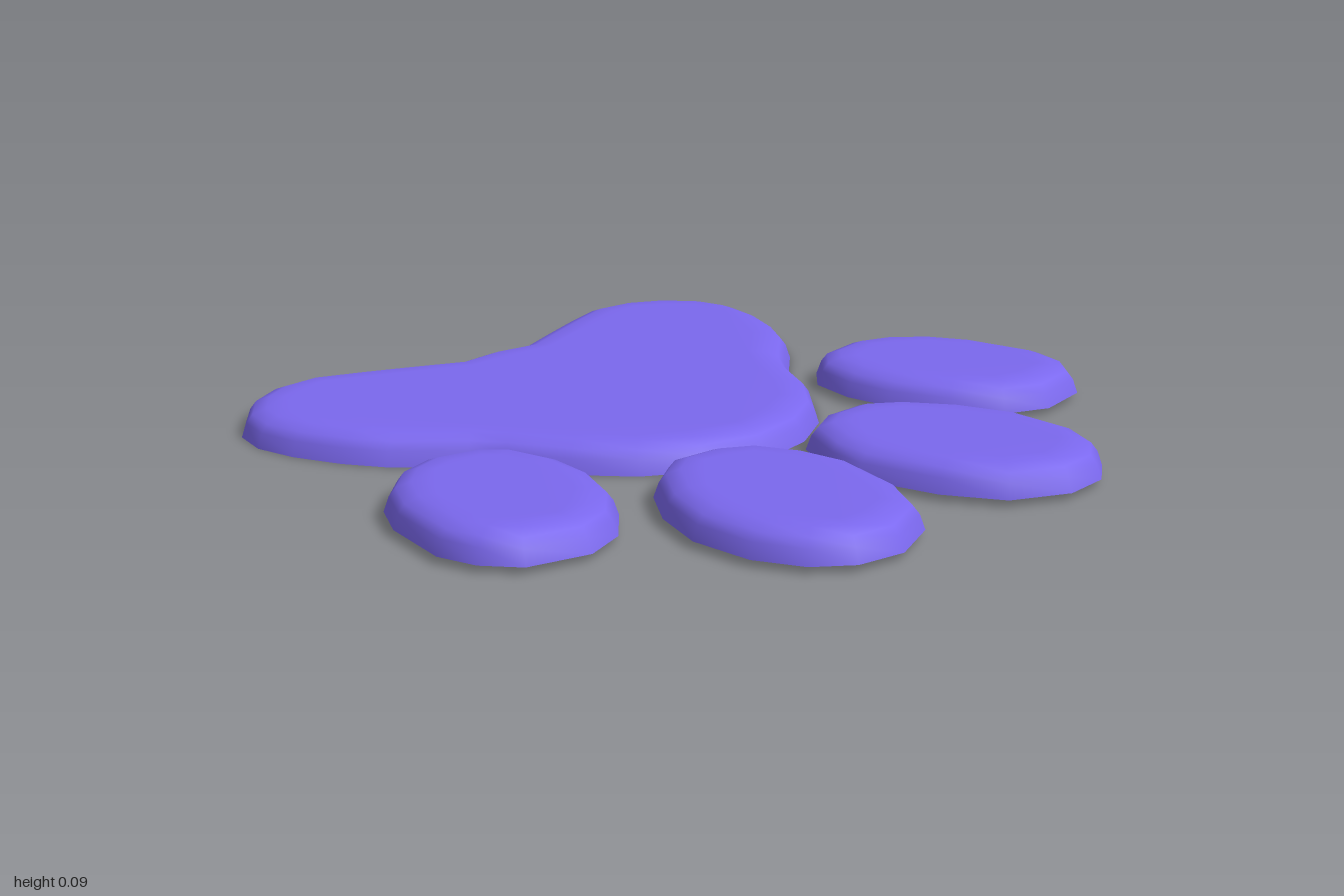
import * as THREE from 'three';

// Outlines as [x, z], clockwise seen from above
const padHalf = [
  [0, -0.785], [0.11, -0.772], [0.23, -0.825], [0.35, -0.875], [0.47, -0.92], [0.59, -0.91],
  [0.695, -0.855], [0.775, -0.76], [0.8, -0.66], [0.78, -0.55], [0.73, -0.43], [0.67, -0.335],
  [0.535, -0.21], [0.48, -0.14], [0.405, 0], [0.3, 0.12], [0.165, 0.2], [0, 0.235],
];
const outerToe = [
  [0.705, -0.17], [0.81, -0.135], [0.9, -0.055], [0.96, 0.055], [1, 0.25], [0.975, 0.35], [0.91, 0.43],
  [0.755, 0.465], [0.64, 0.42], [0.545, 0.32], [0.485, 0.18], [0.47, 0.055], [0.495, -0.07], [0.57, -0.145],
];
const innerToe = [
  [0.185, 0.225], [0.315, 0.22], [0.41, 0.285], [0.495, 0.405], [0.55, 0.555], [0.545, 0.72], [0.49, 0.835],
  [0.405, 0.9], [0.28, 0.915], [0.14, 0.85], [0.06, 0.715], [0.01, 0.515], [0.025, 0.405], [0.085, 0.28],
];

// Rounded edge as [inset, height]
const profile = [[0, 0], [0.012, 0.035], [0.027, 0.055], [0.06, 0.068], [0.1, 0.07]];

const mirror = (pts) => pts.map(([x, z]) => [-x, z]).reverse();

// Moves every outline point inwards along its mitred corner normal
function inset(pts, d) {
  const n = pts.length;
  const normal = (a, b) => new THREE.Vector2(b[1] - a[1], a[0] - b[0]).normalize();
  return pts.map((p, i) => {
    const n1 = normal(pts[(i + n - 1) % n], p);
    const n2 = normal(p, pts[(i + 1) % n]);
    const k = d / (1 + n1.dot(n2));
    return [p[0] - (n1.x + n2.x) * k, p[1] - (n1.y + n2.y) * k];
  });
}

// Shell with a soft upper edge, a flat top and an open underside
function cushion(outline) {
  const n = outline.length;
  const positions = [];
  const index = [];
  let top;
  profile.forEach(([d, y], r) => {
    top = inset(outline, d);
    top.forEach(([x, z]) => positions.push(x, y, z));
    if (r === 0) return;
    for (let i = 0; i < n; i++) {
      const j = (i + 1) % n;
      const a = (r - 1) * n + i, b = (r - 1) * n + j;
      const c = r * n + j, e = r * n + i;
      index.push(a, c, b, a, e, c);
    }
  });
  const flat = top.map(([x, z]) => new THREE.Vector2(x, z));
  const base = (profile.length - 1) * n;
  for (const [a, b, c] of THREE.ShapeUtils.triangulateShape(flat, [])) {
    const turn = flat[b].clone().sub(flat[a]).cross(flat[c].clone().sub(flat[a]));
    index.push(base + a, base + (turn > 0 ? c : b), base + (turn > 0 ? b : c));
  }
  const geometry = new THREE.BufferGeometry();
  geometry.setAttribute('position', new THREE.Float32BufferAttribute(positions, 3));
  geometry.setIndex(index);
  geometry.computeVertexNormals();
  return geometry;
}

export function createModel() {
  const group = new THREE.Group();
  group.name = 'pawPrint';
  const material = new THREE.MeshStandardMaterial({ color: 0x7b68ee, side: THREE.DoubleSide });

  const add = (name, outline, y) => {
    const mesh = new THREE.Mesh(cushion(outline), material);
    mesh.name = name;
    mesh.position.y = y;
    group.add(mesh);
  };

  // Main pad on the ground
  add('mainPad', [...padHalf, ...mirror(padHalf).slice(1, -1)], 0);

  // Four toe pads, slightly raised
  add('leftOuterToe', outerToe, 0.016);
  add('leftInnerToe', innerToe, 0.016);
  add('rightOuterToe', mirror(outerToe), 0.016);
  add('rightInnerToe', mirror(innerToe), 0.016);

  return group;
}
